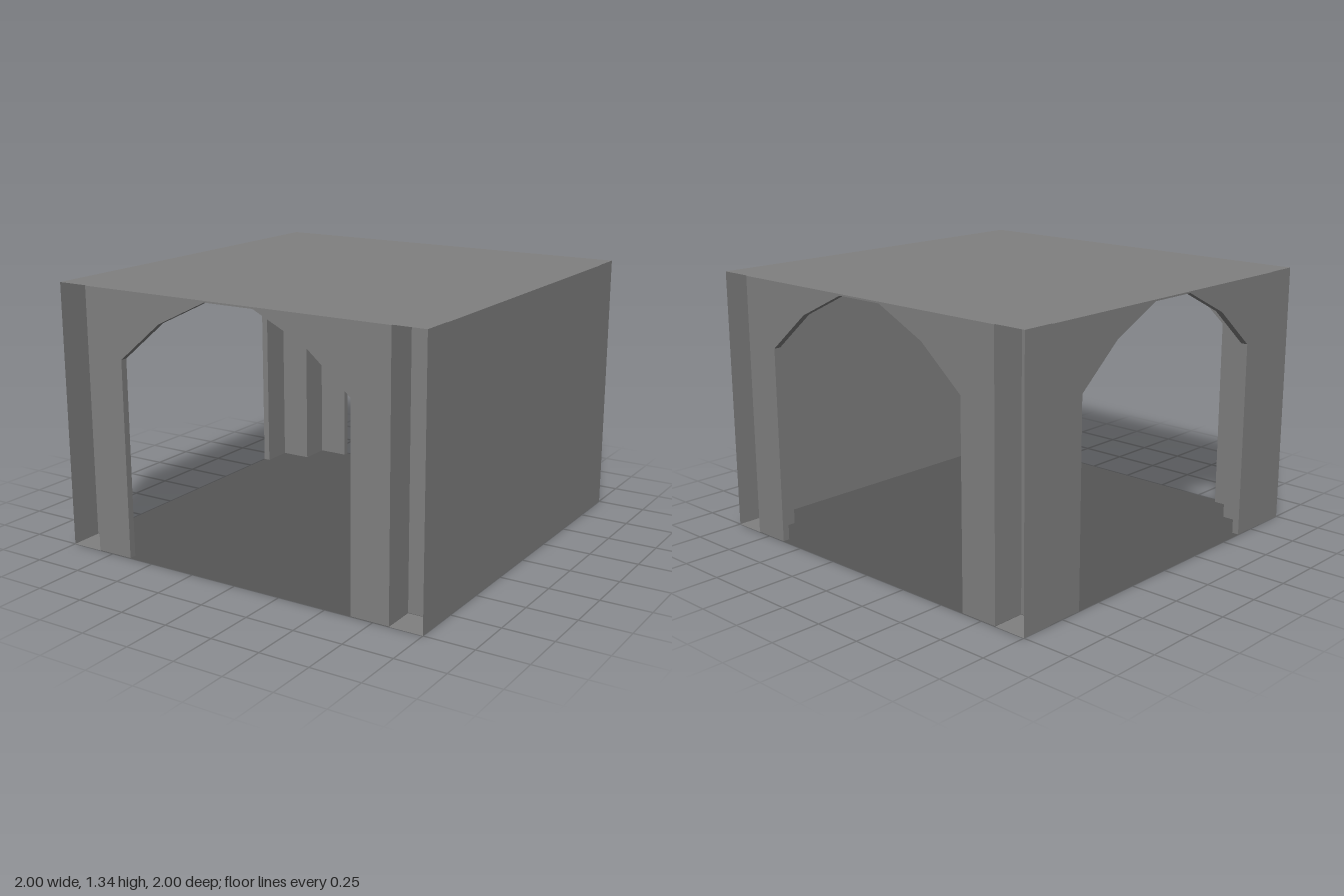
import * as THREE from 'three';

const H = 1.336;      // overall height
const T = 0.035;      // wall thickness
const IN = 0.8;       // inner face of the corner recesses
const OUT = 0.832;    // outer face of the corner recesses
const LOW = 0.002;    // walls stop just short of floor and roof
const WALL_H = H - 2 * LOW;

export function createModel() {
  const group = new THREE.Group();
  const stone = new THREE.MeshStandardMaterial({ color: 0x808080, side: THREE.DoubleSide });
  stone.name = 'mid grey';
  const ground = new THREE.MeshStandardMaterial({ color: 0x555555, side: THREE.DoubleSide });
  ground.name = 'dark grey';

  const add = (name, geometry, material, parent = group) => {
    const mesh = new THREE.Mesh(geometry, material);
    mesh.name = name;
    parent.add(mesh);
    return mesh;
  };
  const box = (x0, x1, z0, z1) =>
    new THREE.BoxGeometry(x1 - x0, WALL_H, z1 - z0)
      .translate((x0 + x1) / 2, H / 2, (z0 + z1) / 2);
  const polygon = (points) => new THREE.Shape(points.map(([x, y]) => new THREE.Vector2(x, y)));

  // Walls with a faceted arch, open at the bottom: front, back and right
  const half = [[0.635, LOW], [0.635, 1], [0.4, 1.197], [0.133, 1.326]];
  const outline = polygon([
    [-IN, LOW], ...half.map(([x, y]) => [-x, y]),
    ...half.slice().reverse(), [IN, LOW], [IN, H - LOW], [-IN, H - LOW],
  ]);
  const archGeometry = new THREE.ExtrudeGeometry(outline, { depth: T, bevelEnabled: false })
    .translate(0, 0, 1 - T);
  const arches = { frontArchWall: 0, backArchWall: Math.PI, rightArchWall: -Math.PI / 2 };
  for (const [name, angle] of Object.entries(arches)) {
    add(name, archGeometry, stone).rotation.y = angle;
  }

  // Closed wall on the left
  add('solidWall', box(1 - T, 1, -IN, IN), stone);

  // Angled inner walls around the recess at each corner
  for (let i = 0; i < 4; i++) {
    const corner = new THREE.Group();
    corner.name = 'cornerRecess';
    corner.rotation.y = i * Math.PI / 2;
    add('recessSide', box(IN, OUT, IN, 1), stone, corner);
    add('recessBack', box(OUT, 1, IN, OUT), stone, corner);
    group.add(corner);
  }

  // Thin side flanges and base squares closing the recesses
  const w = 1 - OUT, mid = (1 + OUT) / 2;
  for (const sx of [-1, 1]) {
    for (const sz of [-1, 1]) {
      const flange = add('cornerFlange', new THREE.PlaneGeometry(w, H), stone);
      flange.position.set(sx, H / 2, sz * mid);
      flange.rotation.y = sx * Math.PI / 2;
      const base = add('cornerBase', new THREE.PlaneGeometry(w, w), stone);
      base.position.set(sx * mid, 0, sz * mid);
      base.rotation.x = -Math.PI / 2;
    }
  }

  // Floor, with the corner squares left out
  const a = OUT;
  const cross = polygon([
    [-a, -1], [a, -1], [a, -a], [1, -a], [1, a], [a, a],
    [a, 1], [-a, 1], [-a, a], [-1, a], [-1, -a], [-a, -a],
  ]);
  add('floor', new THREE.ShapeGeometry(cross).rotateX(-Math.PI / 2), ground);

  // Flat roof
  add('roof', new THREE.PlaneGeometry(2, 2).rotateX(-Math.PI / 2).translate(0, H, 0), stone);

  return group;
}
